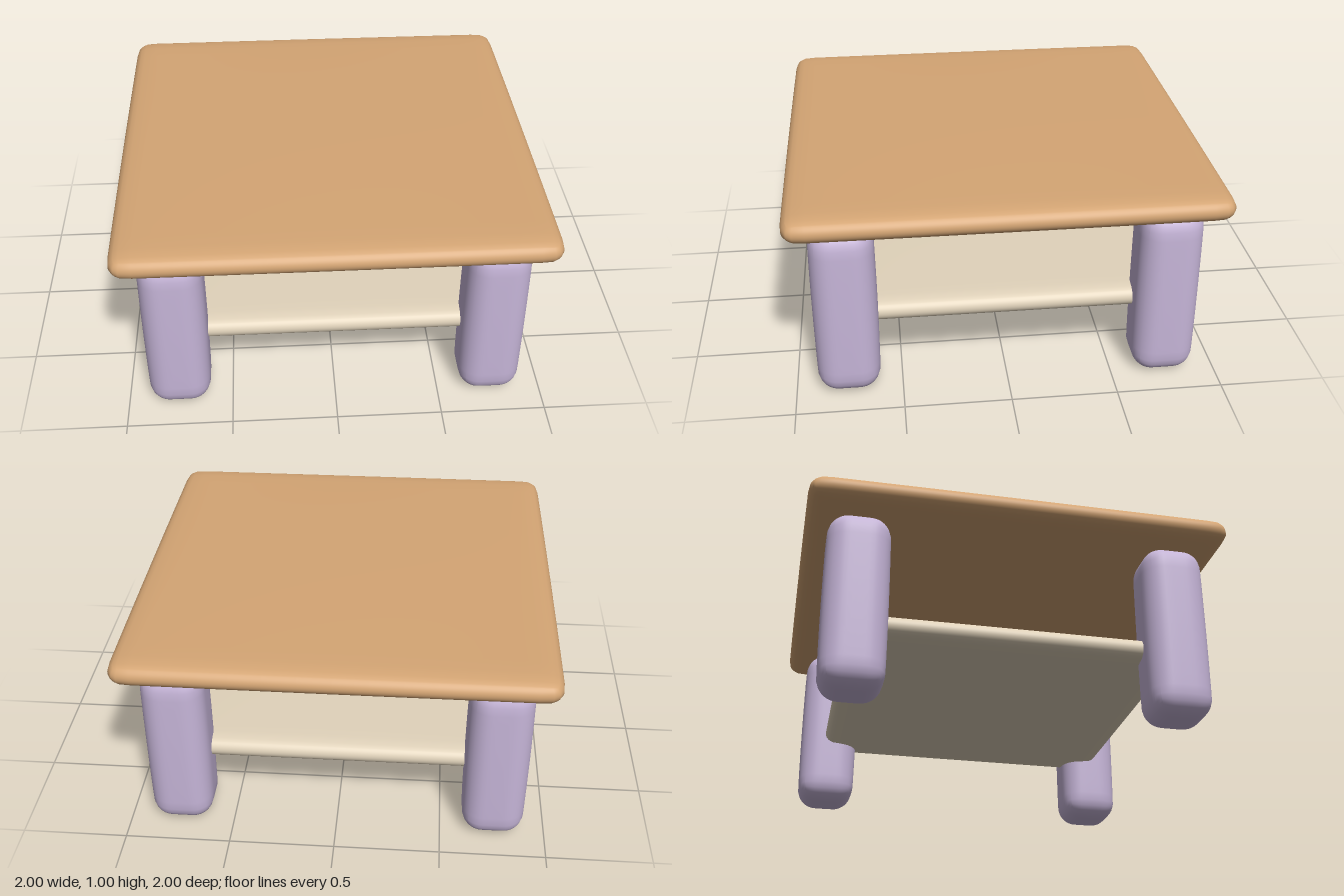
import * as THREE from 'three';
import { mergeVertices } from 'three/addons/utils/BufferGeometryUtils.js';

const material = (name, color) => {
  const m = new THREE.MeshStandardMaterial({ color });
  m.name = name;
  return m;
};

// Pillow-like box: ellipsoidal edges of the given radii, faces swelling outward by bulge
function softBox(size, radii, bulge) {
  const geo = new THREE.BoxGeometry(2, 2, 2, 20, 20, 20);
  geo.deleteAttribute('normal');
  geo.deleteAttribute('uv');
  const pos = geo.attributes.position;
  const half = size.map((s, i) => s / 2 - bulge[i]);
  for (let v = 0; v < pos.count; v++) {
    // Crowd the grid lines toward the edges, then round them
    const p = [pos.getX(v), pos.getY(v), pos.getZ(v)]
      .map((t, i) => Math.sin(t * Math.PI / 2) * half[i]);
    const core = p.map((t, i) => THREE.MathUtils.clamp(t, radii[i] - half[i], half[i] - radii[i]));
    const q = p.map((t, i) => (t - core[i]) / radii[i]);
    const len = Math.hypot(...q);
    const r = core.map((c, i) => c + q[i] / len * radii[i]);
    const u = r.map((t, i) => t / half[i]);
    const out = r.map((t, i) => {
      const j = (i + 1) % 3, k = (i + 2) % 3;
      return t + bulge[i] * u[i] * (1 - u[j] ** 2) * (1 - u[k] ** 2);
    });
    pos.setXYZ(v, ...out);
  }
  const smooth = mergeVertices(geo, 1e-5);
  smooth.computeVertexNormals();
  return smooth;
}

export function createModel() {
  const table = new THREE.Group();
  table.name = 'table';
  const wood = material('warm wood', 0xd4a574);
  const lilac = material('lilac', 0xc6b5d8);
  const cream = material('cream', 0xe0d2ba);

  const add = (name, geo, mat, x, y, z) => {
    const mesh = new THREE.Mesh(geo, mat);
    mesh.name = name;
    mesh.position.set(x, y, z);
    table.add(mesh);
  };

  // Table top and lower shelf
  add('tableTop', softBox([2, 0.14, 2], [0.08, 0.058, 0.08], [0.003, 0.012, 0.003]), wood, 0, 0.93, 0);
  add('shelf', softBox([1.55, 0.118, 1.55], [0.065, 0.053, 0.065], [0.002, 0.006, 0.002]), cream, 0, 0.367, 0);

  // Four chunky legs
  const leg = softBox([0.3, 0.875, 0.3], [0.095, 0.095, 0.095], [0.005, 0.004, 0.005]);
  for (const [side, x] of [['Left', 0.75], ['Right', -0.75]])
    for (const [end, z] of [['front', 0.75], ['back', -0.75]])
      add(`${end}${side}Leg`, leg, lilac, x, 0.4375, z);

  return table;
}
